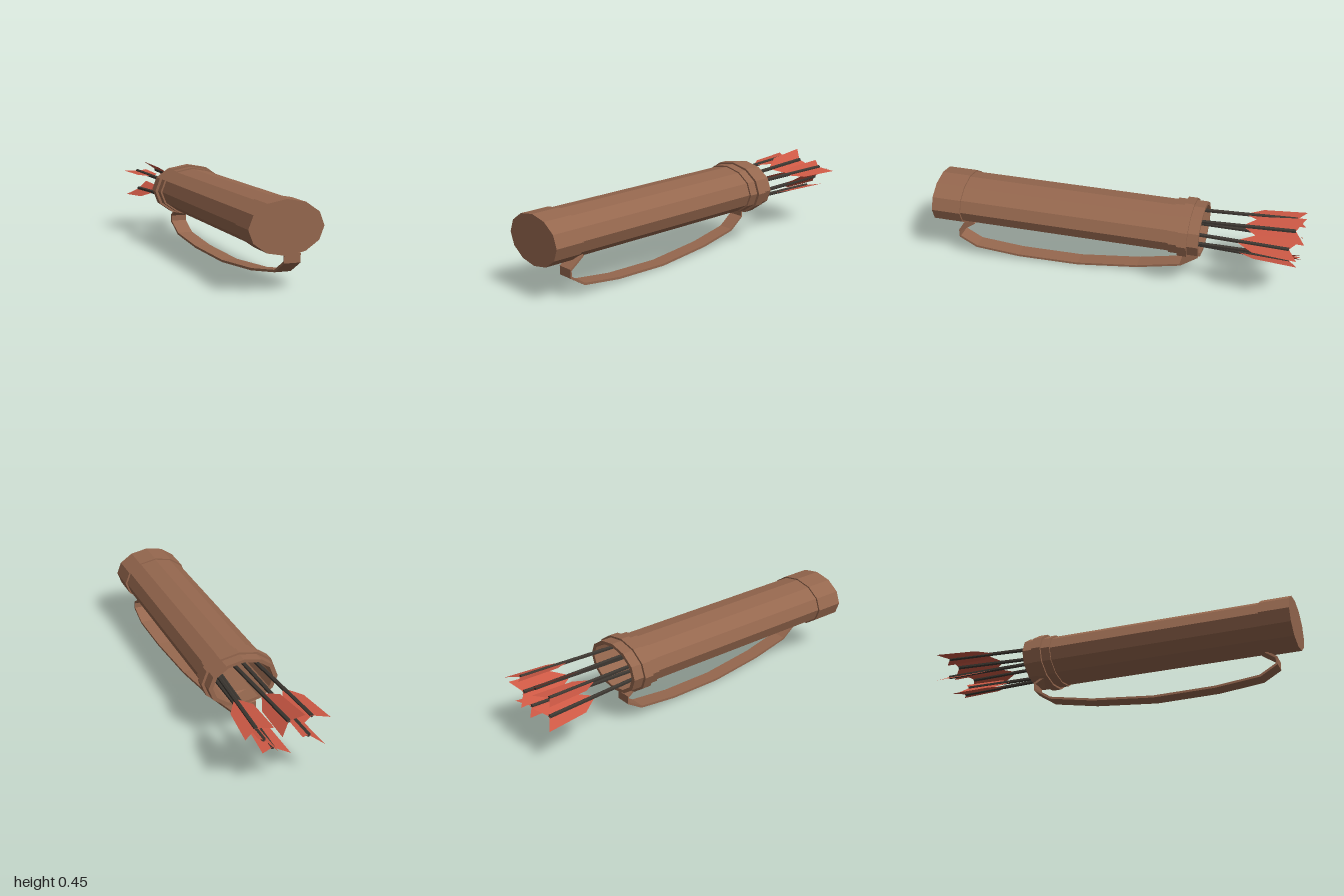
import * as THREE from 'three';

const leather = new THREE.MeshStandardMaterial({ color: 0x95674e, flatShading: true });
leather.name = 'brown leather';
const wood = new THREE.MeshStandardMaterial({ color: 0x3c3731, flatShading: true });
wood.name = 'dark wood';
const feather = new THREE.MeshStandardMaterial({ color: 0xcb5844, side: THREE.DoubleSide });
feather.name = 'red feather';

const CENTRE_Y = 0.31;

// Twelve-sided oval shell along z; profile points are [radius, z]
function ovalShell(name, profile) {
  const pts = profile.map(([r, z]) => new THREE.Vector2(r, -z));
  const geo = new THREE.LatheGeometry(pts, 12);
  geo.rotateX(-Math.PI / 2);
  geo.scale(1, 0.695, 1);
  geo.translate(0, CENTRE_Y, 0);
  const mesh = new THREE.Mesh(geo, leather);
  mesh.name = name;
  return mesh;
}

// Flat band bent along a side path, drifting sideways from front to back
function carryStrap() {
  const path = [
    [0.79, 0.215], [0.875, 0.158], [0.875, 0.12], [0.785, 0.062], [0.55, 0.026], [0.22, 0.007],
    [-0.11, 0.026], [-0.345, 0.062], [-0.435, 0.12], [-0.435, 0.158], [-0.37, 0.2],
  ].map(([z, y]) => new THREE.Vector2(z, y));
  const half = 0.006, width = 0.085;
  const offset = (side) => path.map((p, i) => {
    const a = path[Math.max(i - 1, 0)], b = path[Math.min(i + 1, path.length - 1)];
    const d = b.clone().sub(a).normalize();
    return new THREE.Vector2(p.x - d.y * half * side, p.y + d.x * half * side);
  });
  const shape = new THREE.Shape([...offset(1), ...offset(-1).reverse()]);
  const geo = new THREE.ExtrudeGeometry(shape, { depth: width, bevelEnabled: false });
  geo.rotateY(-Math.PI / 2);
  geo.translate(width / 2, 0, 0);
  const slope = 0.0975;
  geo.applyMatrix4(new THREE.Matrix4().set(
    1, 0, slope, -0.001,
    0, 1, 0, 0,
    0, 0, 1, 0,
    0, 0, 0, 1));
  const mesh = new THREE.Mesh(geo, leather);
  mesh.name = 'carryStrap';
  return mesh;
}

// Arrow with its tail at the origin, pointing tail-first along +y
const shaftGeo = new THREE.CylinderGeometry(0.011, 0.011, 1.6, 6).translate(0, -0.8, 0);
const vaneGeo = new THREE.ShapeGeometry(new THREE.Shape([
  [0, 0], [0.074, 0.05], [0.06, -0.18], [0.012, -0.26],
  [-0.012, -0.26], [-0.06, -0.18], [-0.074, 0.05],
].map(([x, y]) => new THREE.Vector2(x, y))));

function arrow({ tail, mouth, tilt }) {
  const group = new THREE.Group();
  group.name = 'arrow';
  const shaft = new THREE.Mesh(shaftGeo, wood);
  shaft.name = 'arrowShaft';
  const vanes = new THREE.Mesh(vaneGeo, feather);
  vanes.name = 'arrowFeathers';
  vanes.rotation.y = -THREE.MathUtils.degToRad(tilt);
  group.add(shaft, vanes);
  const end = new THREE.Vector3(...tail);
  const dir = end.clone().sub(new THREE.Vector3(...mouth, -0.47)).normalize();
  group.position.copy(end);
  // Lay the arrow down along -z, then lean it toward its direction
  const lay = new THREE.Quaternion().setFromAxisAngle(new THREE.Vector3(1, 0, 0), -Math.PI / 2);
  const lean = new THREE.Quaternion().setFromUnitVectors(new THREE.Vector3(0, 0, -1), dir);
  group.quaternion.copy(lean.multiply(lay));
  return group;
}

export function createModel() {
  const model = new THREE.Group();
  model.name = 'quiver';

  // Hollow tube, open at the back
  model.add(ovalShell('quiverBody', [
    [0.18, 0.85], [0.18, -0.32], [0.166, -0.32], [0.166, 0.8], [0, 0.8],
  ]));
  model.add(ovalShell('baseCap', [[0, 1], [0.19, 1], [0.19, 0.84], [0.175, 0.84]]));
  model.add(ovalShell('mouthCollar', [
    [0.175, -0.31], [0.19, -0.31], [0.19, -0.468], [0.166, -0.468], [0.166, -0.31],
  ]));
  model.add(ovalShell('collarRing', [
    [0.185, -0.36], [0.205, -0.36], [0.205, -0.41], [0.185, -0.41],
  ]));

  model.add(carryStrap());

  // Arrows: tail position, x and y at the mouth, feather tilt in degrees
  [
    { tail: [-0.141, 0.36, -0.94], mouth: [-0.116, 0.354], tilt: 0 },
    { tail: [-0.132, 0.252, -0.94], mouth: [-0.112, 0.268], tilt: 31 },
    { tail: [-0.02, 0.362, -0.945], mouth: [0, 0.354], tilt: -38 },
    { tail: [0.052, 0.222, -0.93], mouth: [0.034, 0.228], tilt: 12 },
    { tail: [0.142, 0.351, -0.93], mouth: [0.122, 0.35], tilt: -15 },
    { tail: [0.104, 0.285, -0.94], mouth: [0.1, 0.28], tilt: 42 },
  ].forEach((a) => model.add(arrow(a)));

  return model;
}
